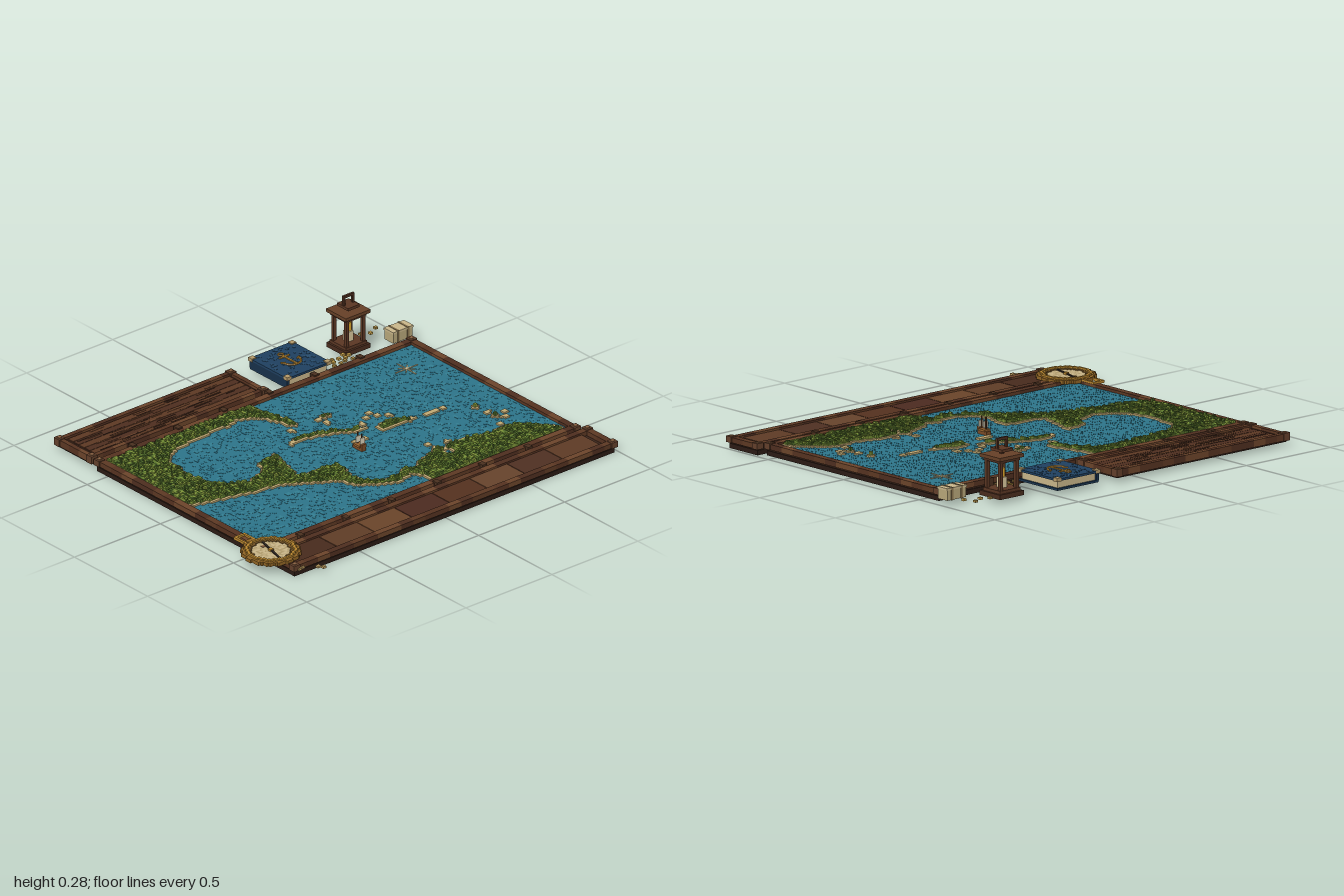
import * as THREE from 'three';
import { mergeGeometries } from 'three/addons/utils/BufferGeometryUtils.js';

const BROWNS = [0x5c3823, 0x4e2e1f, 0x6b442a, 0x553220];
const DARK = 0x2b1b14, GOLD = 0xb8862f, PAPER = 0xc9b68a, SAND = 0xc2aa74;
const GREENS = [0x6b8631, 0x58732b, 0x7f9439, 0x486126];

let seed = 7;
const rand = () => (seed = (seed * 16807) % 2147483647) / 2147483647;
const pick = (list) => list[Math.floor(rand() * list.length)];

// Collects shapes by colour and merges each colour into one mesh
class Part {
  constructor(name) { this.name = name; this.byColor = new Map(); }
  add(color, geo) {
    if (!this.byColor.has(color)) this.byColor.set(color, []);
    this.byColor.get(color).push(geo);
  }
  // Box given by centre x, z, bottom y0, top y1, width and depth
  box(color, x, z, y0, y1, w, d, turn = 0) {
    const geo = new THREE.BoxGeometry(w, y1 - y0, d);
    if (turn) geo.rotateY(turn);
    this.add(color, geo.translate(x, (y0 + y1) / 2, z));
  }
  // Box given by its edges
  span(color, x0, x1, y0, y1, z0, z1) {
    this.box(color, (x0 + x1) / 2, (z0 + z1) / 2, y0, y1, x1 - x0, z1 - z0);
  }
  build(parent) {
    const group = new THREE.Group();
    group.name = this.name;
    let i = 0;
    for (const [color, list] of this.byColor) {
      const mesh = new THREE.Mesh(mergeGeometries(list),
        new THREE.MeshStandardMaterial({ color, flatShading: true }));
      mesh.name = `${this.name}Piece${++i}`;
      group.add(mesh);
    }
    parent.add(group);
  }
}

// Rectangular rail frame of short wooden lengths with raised corner blocks
function railFrame(part, x0, x1, z0, z1, y0, y1, t) {
  const lengths = (a, b, put) => {
    const n = Math.round((b - a) / 0.07);
    for (let i = 0; i < n; i++) put(BROWNS[(i * 3 + (i >> 2)) % 4], a + (b - a) * i / n, a + (b - a) * (i + 1) / n);
  };
  for (const z of [z0, z1 - t]) lengths(x0, x1, (c, a, b) => part.span(c, a, b, y0, y1, z, z + t));
  for (const x of [x0, x1 - t]) lengths(z0 + t, z1 - t, (c, a, b) => part.span(c, x, x + t, y0, y1, a, b));
  for (const x of [x0 + 0.012, x1 - 0.012]) for (const z of [z0 + 0.012, z1 - 0.012]) {
    part.box(0x63402b, x, z, y0, y1 + 0.004, 0.036, 0.036);
    part.box(0x8a6343, x, z, y1 + 0.004, y1 + 0.007, 0.016, 0.016);
  }
}

// Coastlines, as x, z pairs in hundredths
const MAINLAND = [-86, -55, 0, -55, 0, -45, 2, -37, 4, -30, 2, -26, -1, -28, -3, -35, -6, -42, -10, -45, -15, -47, -21, -45,
  -29, -46, -34, -45, -41, -45, -46, -44, -53, -43, -58, -41, -63, -37, -64, -29, -65, -21, -64, -13, -61, -6, -57, -2,
  -50, 1, -44, -1, -38, -3, -36, -9, -30, -11, -23, -12, -24, -7, -26, -2, -27, 4, -29, 10, -23, 12, -15, 12, -9, 13,
  -9, 20, -11, 27, -10, 32, -6, 36, -1, 39, 5, 39, 10, 36, 14, 38, 17, 42, 13, 47, 10, 43, 6, 44, 1, 45, -6, 42,
  -13, 37, -17, 33, -19, 27, -26, 23, -32, 19, -40, 14, -48, 12, -55, 11, -66, 8, -74, 6, -86, 2];
const SOUTH = [13, 55, 13, 46, 16, 39, 20, 35, 26, 33, 32, 31, 35, 27, 37, 32, 43, 30, 51, 31, 62, 34, 74, 33, 80, 38,
  84, 42, 89, 47, 93, 55];
const ISLANDS = [
  [-13, -15, -7, -18, 1, -17, 9, -14, 15, -10, 22, -7, 25, -5, 17, -5, 10, -9, 3, -12, -5, -14, -12, -13],
  [27, -2, 30, -4, 37, -4, 43, -1, 49, 1, 43, 3, 35, 2, 27, 2],
  [10, 1.5, 18, 1.5, 18, 4, 10, 4], [52, 1, 60, 1, 60, 3.7, 52, 3.7]];
const ISLETS = [-3, -24, 13, -25, 16, -25, 14, -20, 19, -25, 30, -12, 34, -15, 36, -11, 25, -9, 40, -8, 74, 11, 75, 18,
  75, 23, 78, 26, 81, 22, 72, 30, 34, 25, 43, 28, 62, 2];
const LAGOON = [35, 34, 38, 34, 38, 39, 35, 39];

function inside(p, x, z) {
  let hit = false;
  for (let i = 0, j = p.length - 2; i < p.length; j = i, i += 2)
    if ((p[i + 1] > z) !== (p[j + 1] > z) && x < (p[j] - p[i]) * (z - p[i + 1]) / (p[j + 1] - p[i + 1]) + p[i]) hit = !hit;
  return hit;
}
function isLand(x, z) {
  x *= 100; z *= 100;
  if (inside(LAGOON, x, z)) return false;
  if ([MAINLAND, SOUTH, ...ISLANDS].some((p) => inside(p, x, z))) return true;
  for (let i = 0; i < ISLETS.length; i += 2) if (Math.hypot(x - ISLETS[i], z - ISLETS[i + 1]) < 1.6) return true;
  return false;
}

function buildMap(root) {
  const X0 = -0.85, X1 = 0.92, Z0 = -0.54, Z1 = 0.525, c = 0.0134;
  const frame = new Part('mapFrame');
  frame.span(DARK, -0.88, 0.95, 0, 0.022, -0.575, 0.562);
  frame.span(0x3a2419, -0.875, 0.945, 0.022, 0.03, -0.57, 0.557);
  railFrame(frame, -0.885, 0.955, -0.578, 0.565, 0.03, 0.055, 0.034);
  for (let i = 0; i < 6; i++) for (const z of [-0.578, 0.568])
    frame.box(0x49301f, -0.67 + i * 0.265, z, 0.026, 0.061, 0.026, 0.032);
  frame.build(root);

  const sea = new Part('sea'), land = new Part('land');
  sea.span(0x2c7489, X0, X1, 0.03, 0.042, Z0, Z1);
  for (let x = X0 + c / 2; x < X1; x += c) for (let z = Z0 + c / 2; z < Z1; z += c) {
    if (isLand(x, z)) {
      const coast = [[c, 0], [-c, 0], [0, c], [0, -c]].some(([dx, dz]) =>
        x + dx > X0 && x + dx < X1 && z + dz > Z0 && z + dz < Z1 && !isLand(x + dx, z + dz));
      if (coast) land.box(SAND, x, z, 0.04, 0.05, c, c);
      else land.box(pick(GREENS), x, z, 0.04, 0.053 + Math.floor(rand() * 4) * 0.004, c, c);
    } else if (rand() < 0.3) sea.box(pick([0x276b81, 0x337e92]), x, z, 0.041, 0.0428, c, c);
  }
  sea.build(root);
  land.build(root);

  // Star of thin rays on the sea
  const rose = new Part('compassRose');
  for (let i = 0; i < 4; i++) rose.box(PAPER, 0.752, -0.375, 0.042, 0.0455, i % 2 ? 0.075 : 0.13, 0.005, i * Math.PI / 4);
  rose.build(root);

  const ship = new Part('ship');
  ship.box(0x7a4b26, 0.09, 0.08, 0.043, 0.06, 0.026, 0.062);
  ship.box(0x95622f, 0.09, 0.08, 0.058, 0.068, 0.036, 0.042);
  ship.box(0x7a4b26, 0.09, 0.105, 0.06, 0.076, 0.026, 0.014);
  for (const z of [0.068, 0.096]) {
    ship.box(0x5a3820, 0.09, z, 0.06, 0.124, 0.005, 0.005);
    ship.box(0xd8d0b8, 0.09, z + 0.004, 0.074, 0.105, 0.028, 0.003);
  }
  ship.build(root);
}

function buildBoards(root) {
  // Long streaky board behind the map
  const sign = new Part('backBoard');
  sign.span(DARK, -0.88, 0.13, 0.018, 0.03, -0.845, -0.61);
  sign.span(0x3b2318, -0.86, 0.11, 0.03, 0.045, -0.83, -0.625);
  railFrame(sign, -0.885, 0.135, -0.85, -0.605, 0.025, 0.057, 0.024);
  for (let i = 0; i < 5; i++) sign.span(BROWNS[i % 2], -0.84, 0.1, 0.044, 0.05, -0.82 + i * 0.038, -0.784 + i * 0.038);
  for (let i = 0; i < 70; i++)
    sign.box(pick([0x3a2217, 0x6a4229]), -0.76 + rand() * 0.78, -0.815 + rand() * 0.18, 0.049, 0.0515, 0.04 + rand() * 0.1, 0.005);
  sign.build(root);

  // Tray of planks in front of the map
  const tray = new Part('frontTray');
  tray.span(DARK, -0.88, 0.983, 0, 0.022, 0.588, 0.775);
  tray.span(0x3a2419, -0.875, 0.978, 0.022, 0.03, 0.592, 0.77);
  railFrame(tray, -0.885, 0.988, 0.584, 0.78, 0.028, 0.052, 0.032);
  const tones = [0x472a1c, 0x5f3c26, 0x694429, 0x4b2a20, 0x54311f, 0x66432b, 0x4f3022, 0x5d3a25];
  tones.forEach((tone, i) => {
    const a = i ? -0.6 + (i - 1) * 0.2186 : -0.855;
    tray.span(tone, a, i ? a + 0.215 : -0.604, 0.03, 0.043, 0.614, 0.75);
  });
  tray.build(root);
}

function buildBook(root) {
  const book = new Part('book'), x = 0.373, z = -0.728;
  book.box(0x1b3650, x, z, 0.022, 0.032, 0.245, 0.255);
  book.box(PAPER, x, z, 0.032, 0.066, 0.225, 0.235);
  book.box(0x17304a, x - 0.118, z, 0.03, 0.068, 0.014, 0.255);
  book.box(0x1f4060, x, z, 0.066, 0.076, 0.252, 0.262);
  for (let i = 0; i < 60; i++)
    book.box(0x274c6c, x + (rand() - 0.5) * 0.22, z + (rand() - 0.5) * 0.23, 0.075, 0.0772, 0.013, 0.013);
  for (const sx of [-1, 1]) for (const sz of [-1, 1])
    book.box(0xb59a6a, x + sx * 0.116, z + sz * 0.12, 0.064, 0.081, 0.026, 0.026);
  book.build(root);

  const anchor = new Part('anchorEmblem');
  anchor.box(GOLD, x, z, 0.076, 0.081, 0.009, 0.105);
  anchor.box(GOLD, x, -0.765, 0.076, 0.081, 0.058, 0.009);
  anchor.add(GOLD, new THREE.TorusGeometry(0.012, 0.004, 6, 12).rotateX(Math.PI / 2).translate(x, 0.079, -0.79));
  anchor.add(GOLD, new THREE.TorusGeometry(0.045, 0.005, 6, 16, Math.PI).rotateX(Math.PI / 2).translate(x, 0.079, -0.72));
  for (const s of [-1, 1]) anchor.box(GOLD, x + s * 0.044, -0.722, 0.076, 0.081, 0.022, 0.007, s * 0.5);
  anchor.build(root);
}

function buildLantern(root) {
  const p = new Part('lantern'), x = 0.722, z = -0.738, wood = 0x5a3623;
  p.box(0x4a2c1d, x, z, 0.02, 0.042, 0.142, 0.134);
  p.box(wood, x, z, 0.042, 0.056, 0.122, 0.112);
  for (const sx of [-1, 1]) for (const sz of [-1, 1]) p.box(wood, x + sx * 0.047, z + sz * 0.044, 0.05, 0.182, 0.016, 0.016);
  p.box(0x4a2c1d, x, z, 0.18, 0.194, 0.118, 0.11);
  p.box(0x664027, x, z, 0.194, 0.21, 0.144, 0.134);
  // Cap and square handle
  p.box(0x4a2c1d, x, z, 0.21, 0.226, 0.014, 0.014);
  p.box(wood, x, z, 0.224, 0.237, 0.068, 0.076);
  for (const s of [-1, 1]) p.box(0x4a2c1d, x + s * 0.026, z, 0.237, 0.28, 0.01, 0.011);
  p.box(0x4a2c1d, x, z, 0.272, 0.284, 0.062, 0.011);
  // Candle and flame
  p.box(0xd8c79c, x, z, 0.056, 0.104, 0.032, 0.032);
  p.box(0xe0a92e, x, z, 0.104, 0.145, 0.02, 0.02);
  p.box(0xf2d060, x, z, 0.145, 0.16, 0.01, 0.01);
  p.build(root);
}

function buildCompass(root) {
  const p = new Part('pocketCompass'), x = -0.872, z = 0.605, c = 0.0107;
  for (let i = -12; i <= 12; i++) for (let j = -12; j <= 12; j++) {
    const r = Math.hypot(i, j) * c;
    if (r > 0.13) continue;
    const [tone, top] = r > 0.115 ? [0x8f6424, 0.064] : r > 0.1 ? [GOLD, 0.072]
      : r > 0.088 ? [0x7d5a28, 0.064] : [pick([PAPER, 0xbfab7d, 0xb09b6c]), 0.06];
    p.box(tone, x + i * c, z + j * c, 0.047, top, c, c);
  }
  p.box(0x2c2420, x, z, 0.062, 0.067, 0.009, 0.17, -0.25);
  p.box(GOLD, x, z, 0.06, 0.07, 0.018, 0.018);
  // Square loop
  for (const s of [-1, 1]) p.box(GOLD, x - 0.013 + s * 0.027, 0.443, 0.052, 0.064, 0.011, 0.082);
  p.box(GOLD, x - 0.013, 0.408, 0.052, 0.064, 0.062, 0.012);
  p.box(0x8f6424, x - 0.013, 0.476, 0.05, 0.066, 0.04, 0.022);
  p.build(root);
}

function buildLooseItems(root) {
  const crate = new Part('paleCrate');
  crate.box(0xb7a679, 0.941, -0.652, 0.028, 0.074, 0.112, 0.062);
  crate.box(PAPER, 0.941, -0.652, 0.074, 0.084, 0.118, 0.066);
  for (const s of [-1, 1]) crate.box(0x8b7650, 0.941 + s * 0.028, -0.652, 0.027, 0.086, 0.01, 0.069);
  crate.build(root);

  const coins = new Part('scatteredCoins');
  const spots = [0.54, -0.62, 0.56, -0.65, 0.58, -0.62, 0.60, -0.66, 0.61, -0.63, 0.64, -0.68, 0.65, -0.62, 0.63, -0.65,
    0.57, -0.67, 0.66, -0.66, 0.83, -0.78, 0.87, -0.76, 0.92, -0.785, 0.94, -0.73];
  for (let i = 0; i < spots.length; i += 2)
    coins.box(i % 4 ? 0xc9a24a : 0xa98a45, spots[i], spots[i + 1], 0.028, 0.038, 0.016, 0.016);
  for (const [x, z] of [[-0.86, 0.785], [-0.84, 0.78], [-0.78, 0.82], [-0.765, 0.84]])
    coins.box(0xb9995c, x, z, 0.03, 0.04, 0.018, 0.016);
  coins.build(root);
}

export function createModel() {
  const root = new THREE.Group();
  root.name = 'mapTableau';
  seed = 7;
  for (const build of [buildMap, buildBoards, buildBook, buildLantern, buildCompass, buildLooseItems]) build(root);
  return root;
}
